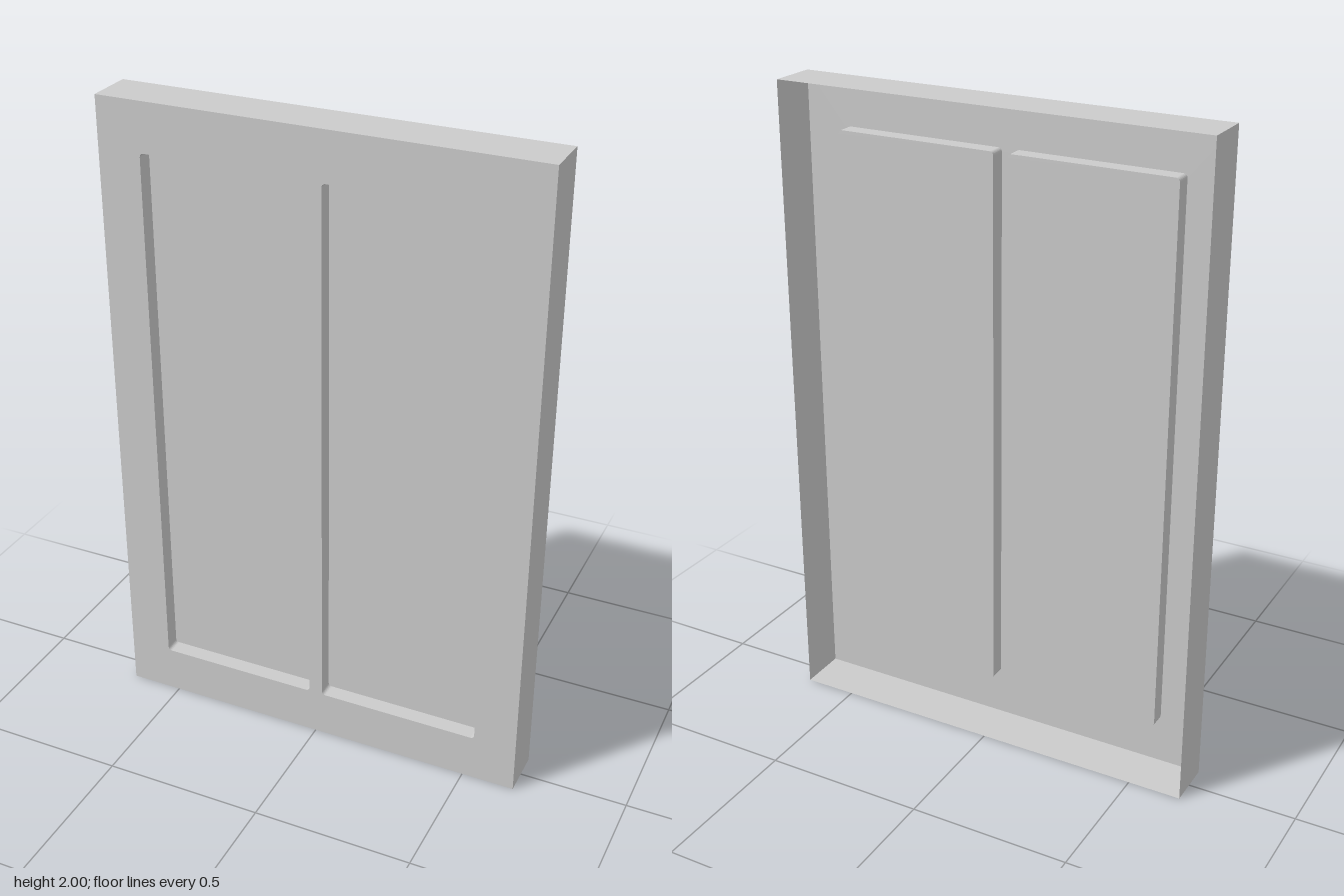
import * as THREE from 'three';

const HALF_W = 0.665, HEIGHT = 2, HALF_D = 0.075;
const PANEL = { x0: 0.022, x1: 0.532, y0: 0.15, y1: 1.85, radius: 0.012, depth: 0.05 };

const material = new THREE.MeshStandardMaterial({ color: 0xcccccc, side: THREE.DoubleSide });

function addMesh(parent, name, geometry) {
  const mesh = new THREE.Mesh(geometry, material);
  mesh.name = name;
  parent.add(mesh);
  return mesh;
}

// Counter-clockwise rectangle, with rounded corners when r > 0
function rectangle(x0, y0, x1, y1, r = 0) {
  const shape = new THREE.Shape();
  if (r === 0) {
    return shape.moveTo(x0, y0).lineTo(x1, y0).lineTo(x1, y1).lineTo(x0, y1).closePath();
  }
  const q = Math.PI / 2;
  shape.absarc(x1 - r, y0 + r, r, -q, 0);
  shape.absarc(x1 - r, y1 - r, r, 0, q);
  shape.absarc(x0 + r, y1 - r, r, q, 2 * q);
  shape.absarc(x0 + r, y0 + r, r, 2 * q, 3 * q);
  return shape.closePath();
}

// Thin wall following an outline from zBack to zFront, facing outwards
function wall(shape, zBack, zFront) {
  const points = shape.getPoints(3);
  const positions = [];
  for (let i = 0; i < points.length; i++) {
    const a = points[i], b = points[(i + 1) % points.length];
    if (a.distanceTo(b) < 1e-6) continue;
    positions.push(
      a.x, a.y, zBack, b.x, b.y, zBack, b.x, b.y, zFront,
      a.x, a.y, zBack, b.x, b.y, zFront, a.x, a.y, zFront);
  }
  const geometry = new THREE.BufferGeometry();
  geometry.setAttribute('position', new THREE.Float32BufferAttribute(positions, 3));
  geometry.computeVertexNormals();
  return geometry;
}

export function createModel() {
  const door = new THREE.Group();
  door.name = 'cabinetDoor';

  const outline = () => rectangle(-HALF_W, 0, HALF_W, HEIGHT);
  const face = outline();

  // Two recessed panels, mirrored about the middle stile
  for (const [side, name] of [[-1, 'rightPanel'], [1, 'leftPanel']]) {
    const { x0, x1, y0, y1, radius, depth } = PANEL;
    const shape = side > 0
      ? rectangle(x0, y0, x1, y1, radius)
      : rectangle(-x1, y0, -x0, y1, radius);
    face.holes.push(new THREE.Path(shape.getPoints(3)));

    const panel = new THREE.Group();
    panel.name = name;
    addMesh(panel, 'panelFloor', new THREE.ShapeGeometry(shape, 3)).position.z = HALF_D - depth;
    addMesh(panel, 'panelWalls', wall(shape, HALF_D - depth, HALF_D));
    door.add(panel);
  }

  // Front sheet with the panel openings
  addMesh(door, 'frontFrame', new THREE.ShapeGeometry(face, 3)).position.z = HALF_D;

  // Outer rim, open at the back
  addMesh(door, 'outerRim', wall(outline(), -HALF_D, HALF_D));

  return door;
}
